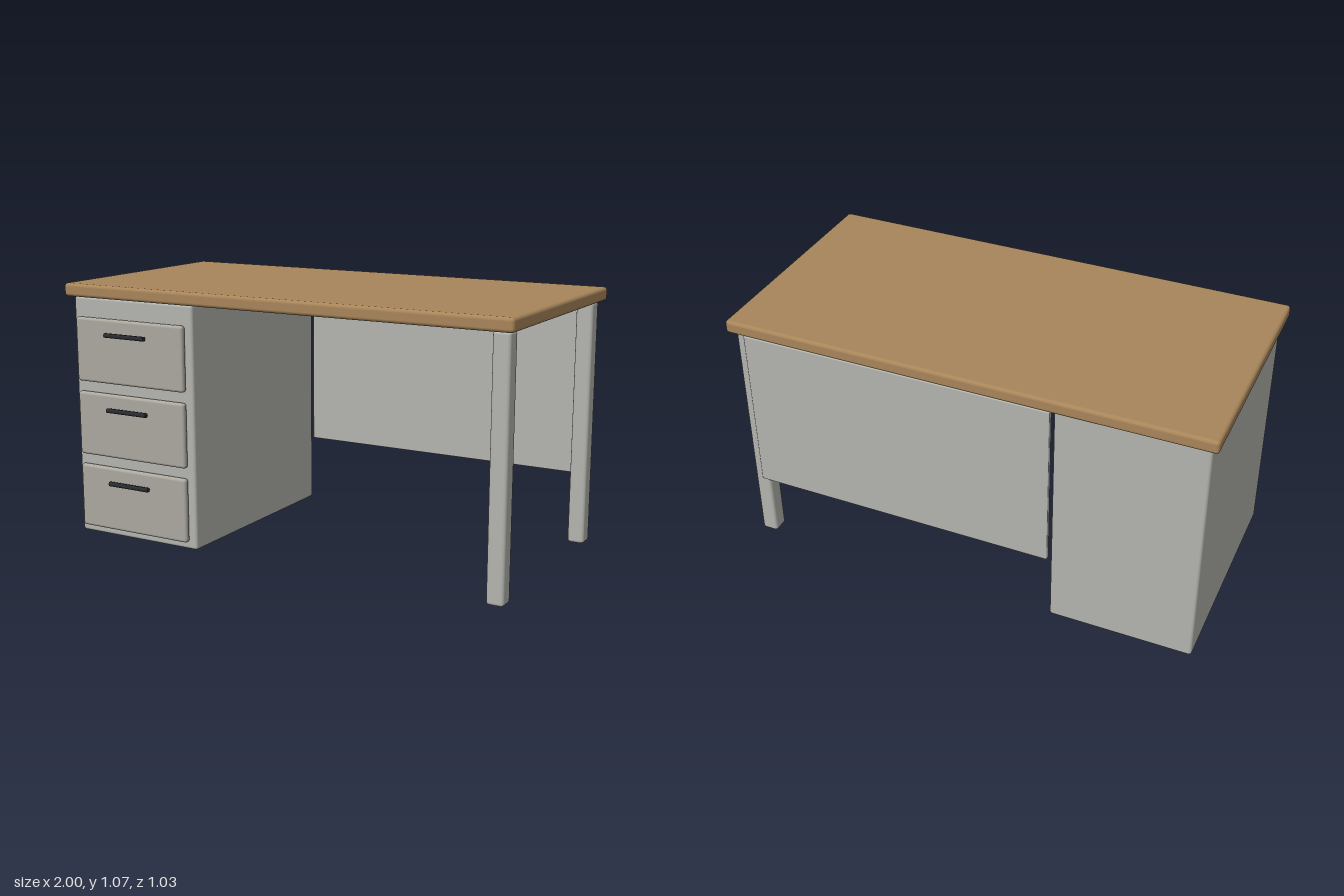
import * as THREE from 'three';
import { RoundedBoxGeometry } from 'three/addons/geometries/RoundedBoxGeometry.js';

const material = (color) => new THREE.MeshStandardMaterial({ color });

export function createModel() {
  const desk = new THREE.Group();
  desk.name = 'desk';
  const wood = material(0xa8855a);
  const body = material(0xb3b4ae);
  const front = material(0xaba89f);
  const dark = material(0x2a2c30);

  // Rounded box given by its limits on each axis
  const block = (name, [x0, x1], [y0, y1], [z0, z1], radius, mat) => {
    const geometry = new RoundedBoxGeometry(x1 - x0, y1 - y0, z1 - z0, 3, radius);
    const mesh = new THREE.Mesh(geometry, mat);
    mesh.position.set((x0 + x1) / 2, (y0 + y1) / 2, (z0 + z1) / 2);
    mesh.name = name;
    desk.add(mesh);
  };

  block('desktop', [-1, 1], [1.017, 1.072], [-0.515, 0.485], 0.014, wood);
  block('drawerCabinet', [-0.972, -0.375], [0.003, 1.017], [-0.485, 0.455], 0.012, body);
  block('backPanel', [-0.36, 0.94], [0.29, 1], [-0.488, -0.466], 0.004, body);

  // Two legs on the open side
  block('frontLeg', [0.905, 0.975], [0.003, 1.017], [0.379, 0.449], 0.013, body);
  block('backLeg', [0.905, 0.975], [0.003, 1.017], [-0.482, -0.41], 0.013, body);

  // Three drawers, each with a slim hexagonal bar handle standing off the front
  for (let i = 0; i < 3; i++) {
    const y = 0.172 + i * 0.314;
    block('drawerFront', [-0.945, -0.405], [y - 0.135, y + 0.135], [0.456, 0.485], 0.012, front);
    const handle = new THREE.Mesh(new THREE.CylinderGeometry(0.01, 0.01, 0.2, 6), dark);
    handle.rotation.z = Math.PI / 2;
    handle.position.set(-0.675, y + 0.073, 0.507);
    handle.name = 'drawerHandle';
    desk.add(handle);
  }

  return desk;
}
